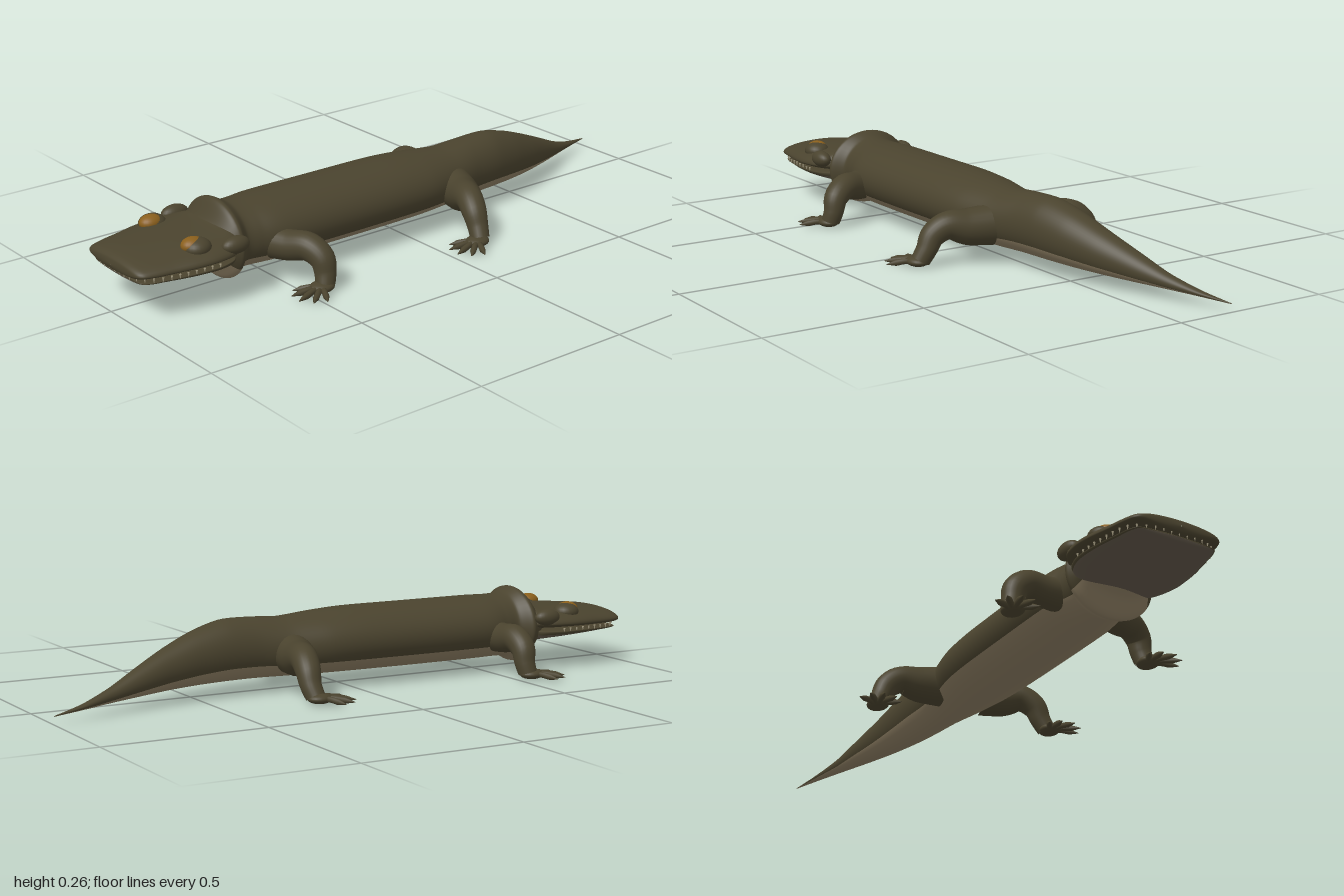
import * as THREE from 'three';

const mat = (name, color) => {
  const m = new THREE.MeshStandardMaterial({ color });
  m.name = name;
  return m;
};

// Smooth skin over elliptical sections [z, centreX, halfWidth, top, middle, bottom], ordered by rising z.
// Facets below the belly angle use the second material.
function loft(sections, steps, sides = 48, bellySin = -0.5) {
  const a = new THREE.CatmullRomCurve3(sections.map(s => new THREE.Vector3(s[0], s[1], s[2])), false, 'catmullrom', 0.4);
  const b = new THREE.CatmullRomCurve3(sections.map(s => new THREE.Vector3(s[3], s[4], s[5])), false, 'catmullrom', 0.4);
  const pos = [], upper = [], lower = [];
  for (let i = 0; i <= steps; i++) {
    const p = a.getPoint(i / steps), q = b.getPoint(i / steps);
    for (let j = 0; j < sides; j++) {
      const t = (j / sides) * Math.PI * 2, s = Math.sin(t);
      const y = q.y + s * (s > 0 ? q.x - q.y : q.y - q.z);
      pos.push(p.y + Math.cos(t) * Math.max(p.z, 0.0005), y, p.x);
    }
  }
  for (let i = 0; i < steps; i++) {
    for (let j = 0; j < sides; j++) {
      const k = (j + 1) % sides;
      const v = i * sides + j, w = i * sides + k;
      const list = Math.sin(((j + 0.5) / sides) * Math.PI * 2) < bellySin ? lower : upper;
      list.push(v, w, v + sides, w, w + sides, v + sides);
    }
  }
  const g = new THREE.BufferGeometry();
  g.setAttribute('position', new THREE.Float32BufferAttribute(pos, 3));
  g.setIndex([...upper, ...lower]);
  g.addGroup(0, upper.length, 0);
  g.addGroup(upper.length, lower.length, 1);
  g.computeVertexNormals();
  return g;
}

// Tube whose radius follows the points [x, y, z, radius]
function limb(points, steps = 20, sides = 16) {
  const curve = new THREE.CatmullRomCurve3(points.map(p => new THREE.Vector3(p[0], p[1], p[2])));
  const g = new THREE.TubeGeometry(curve, steps, 1, sides, false);
  const pos = g.attributes.position, v = new THREE.Vector3();
  for (let i = 0; i <= steps; i++) {
    const c = curve.getPointAt(i / steps);
    const f = curve.getUtoTmapping(i / steps) * (points.length - 1);
    const k = Math.min(Math.floor(f), points.length - 2);
    const r = THREE.MathUtils.lerp(points[k][3], points[k + 1][3], f - k);
    for (let j = 0; j <= sides; j++) {
      const n = i * (sides + 1) + j;
      v.fromBufferAttribute(pos, n).sub(c).multiplyScalar(r).add(c);
      pos.setXYZ(n, v.x, v.y, v.z);
    }
  }
  return g;
}

export function createModel() {
  const model = new THREE.Group();
  const skin = mat('olive skin', 0x4a432e);
  const belly = mat('pale belly', 0x8c7d62);
  const jaw = mat('jaw underside', 0x62584a);
  const amber = mat('amber eye', 0x8a5f1c);
  const bone = mat('tooth', 0xa39a80);

  const add = (name, geometry, material, parent = model) => {
    const m = new THREE.Mesh(geometry, material);
    m.name = name;
    parent.add(m);
    return m;
  };
  const ball = (name, material, p, s, parent) => {
    const m = add(name, new THREE.SphereGeometry(1, 24, 16), material, parent);
    m.position.set(...p);
    m.scale.set(...s);
    return m;
  };

  // Tail, trunk and flared neck collar in one skin
  add('body', loft([
    [-1.0, -0.178, 0.001, 0.027, 0.026, 0.025],
    [-0.9, -0.146, 0.013, 0.046, 0.038, 0.029],
    [-0.8, -0.11, 0.025, 0.078, 0.055, 0.033],
    [-0.7, -0.076, 0.042, 0.122, 0.079, 0.036],
    [-0.6, -0.045, 0.057, 0.165, 0.102, 0.039],
    [-0.5, -0.023, 0.07, 0.203, 0.122, 0.041],
    [-0.4, -0.01, 0.08, 0.228, 0.135, 0.042],
    [-0.3, -0.004, 0.087, 0.228, 0.135, 0.042],
    [-0.2, 0, 0.105, 0.222, 0.13, 0.04],
    [-0.08, 0, 0.13, 0.231, 0.135, 0.038],
    [0.04, 0, 0.138, 0.237, 0.137, 0.037],
    [0.25, 0, 0.14, 0.237, 0.137, 0.036],
    [0.48, 0, 0.138, 0.237, 0.137, 0.036],
    [0.56, 0, 0.12, 0.236, 0.136, 0.036],
    [0.605, 0, 0.113, 0.24, 0.136, 0.033],
    [0.638, 0, 0.143, 0.257, 0.136, 0.016],
    [0.655, 0, 0.14, 0.25, 0.136, 0.025],
    [0.685, 0, 0.12, 0.205, 0.136, 0.07],
    [0.72, 0, 0.08, 0.17, 0.136, 0.1],
  ], 144), [skin, belly]);

  // Broad flat head with separate jaws
  const head = new THREE.Group();
  head.name = 'head';
  model.add(head);
  add('upperJaw', loft([
    [0.63, 0, 0.11, 0.215, 0.15, 0.125],
    [0.66, 0, 0.15, 0.21, 0.15, 0.125],
    [0.70, 0, 0.176, 0.2, 0.15, 0.125],
    [0.76, 0, 0.184, 0.194, 0.149, 0.125],
    [0.82, 0, 0.178, 0.19, 0.147, 0.124],
    [0.88, 0, 0.165, 0.185, 0.145, 0.123],
    [0.94, 0, 0.153, 0.179, 0.144, 0.122],
    [0.975, 0, 0.14, 0.172, 0.144, 0.124],
    [0.99, 0, 0.11, 0.162, 0.144, 0.13],
    [0.995, 0, 0.001, 0.146, 0.144, 0.142],
  ], 72, 48, -2), [skin, skin], head);
  add('lowerJaw', loft([
    [0.64, 0, 0.1, 0.13, 0.122, 0.075],
    [0.68, 0, 0.15, 0.13, 0.122, 0.083],
    [0.74, 0, 0.17, 0.13, 0.122, 0.09],
    [0.82, 0, 0.166, 0.129, 0.121, 0.096],
    [0.90, 0, 0.15, 0.127, 0.12, 0.101],
    [0.95, 0, 0.138, 0.126, 0.119, 0.106],
    [0.973, 0, 0.115, 0.124, 0.119, 0.11],
    [0.98, 0, 0.001, 0.12, 0.119, 0.118],
  ], 60, 48, -0.2), [skin, jaw], head);

  // Small teeth along the mouth edge
  const edge = new THREE.CatmullRomCurve3([
    [-0.168, 0.74], [-0.16, 0.85], [-0.14, 0.94], [-0.09, 0.977], [0, 0.982],
    [0.09, 0.977], [0.14, 0.94], [0.16, 0.85], [0.168, 0.74],
  ].map(([x, z]) => new THREE.Vector3(x, 0.125, z)));
  for (let i = 0; i <= 28; i++) {
    const t = add('tooth', new THREE.ConeGeometry(0.0035, 0.016, 6), bone, head);
    t.position.copy(edge.getPointAt(i / 28));
    t.rotation.x = Math.PI;
  }

  // Eyes, brow lids and cheek bumps
  for (const s of [-1, 1]) {
    ball('eyelid', skin, [s * 0.116, 0.178, 0.782], [0.04, 0.028, 0.042], head);
    ball('eye', amber, [s * 0.109, 0.186, 0.792], [0.03, 0.023, 0.036], head);
    ball('cheekBump', skin, [s * 0.157, 0.172, 0.68], [0.026, 0.026, 0.045], head);
  }

  // Sprawling legs: name, side, hip z, ankle z, hip thickness
  const legs = [
    ['frontLeftLeg', 1, 0.505, 0.437, 0.046],
    ['frontRightLeg', -1, 0.525, 0.53, 0.046],
    ['backLeftLeg', 1, -0.19, -0.135, 0.056],
    ['backRightLeg', -1, -0.2, -0.235, 0.056],
  ];
  for (const [name, s, hip, ankle, r] of legs) {
    const leg = new THREE.Group();
    leg.name = name;
    model.add(leg);
    const out = name.startsWith('back') ? 0.02 : 0;
    const z = f => hip + (ankle - hip) * f;
    add('limb', limb([
      [s * 0.07, 0.118, z(-0.1), r + 0.006],
      [s * 0.14, 0.116, z(0.3), r],
      [s * 0.2, 0.122, z(0.7), 0.042],
      [s * 0.24, 0.095, z(0.95), 0.038],
      [s * (0.25 + out * 0.5), 0.055, z(1), 0.032],
      [s * (0.258 + out), 0.022, z(1) + 0.006, 0.029],
    ], 32, 24), skin, leg);

    // Foot with five splayed toes
    const fx = 0.26 + out, fz = ankle + 0.02;
    ball('foot', skin, [s * fx, 0.018, fz], [0.033, 0.016, 0.04], leg);
    for (let i = 0; i < 5; i++) {
      const a = THREE.MathUtils.degToRad(-32 + i * 24);
      const len = [0.085, 0.1, 0.108, 0.104, 0.092][i];
      const at = (d, y, w) => [s * (fx + Math.sin(a) * d), y, fz + Math.cos(a) * d, w];
      add('toe', limb([
        at(0.01, 0.016, 0.01), at(len * 0.4, 0.018, 0.009),
        at(len * 0.7, 0.014, 0.0095), at(len, 0.01, 0.0008),
      ], 12, 8), skin, leg);
    }
  }
  return model;
}
